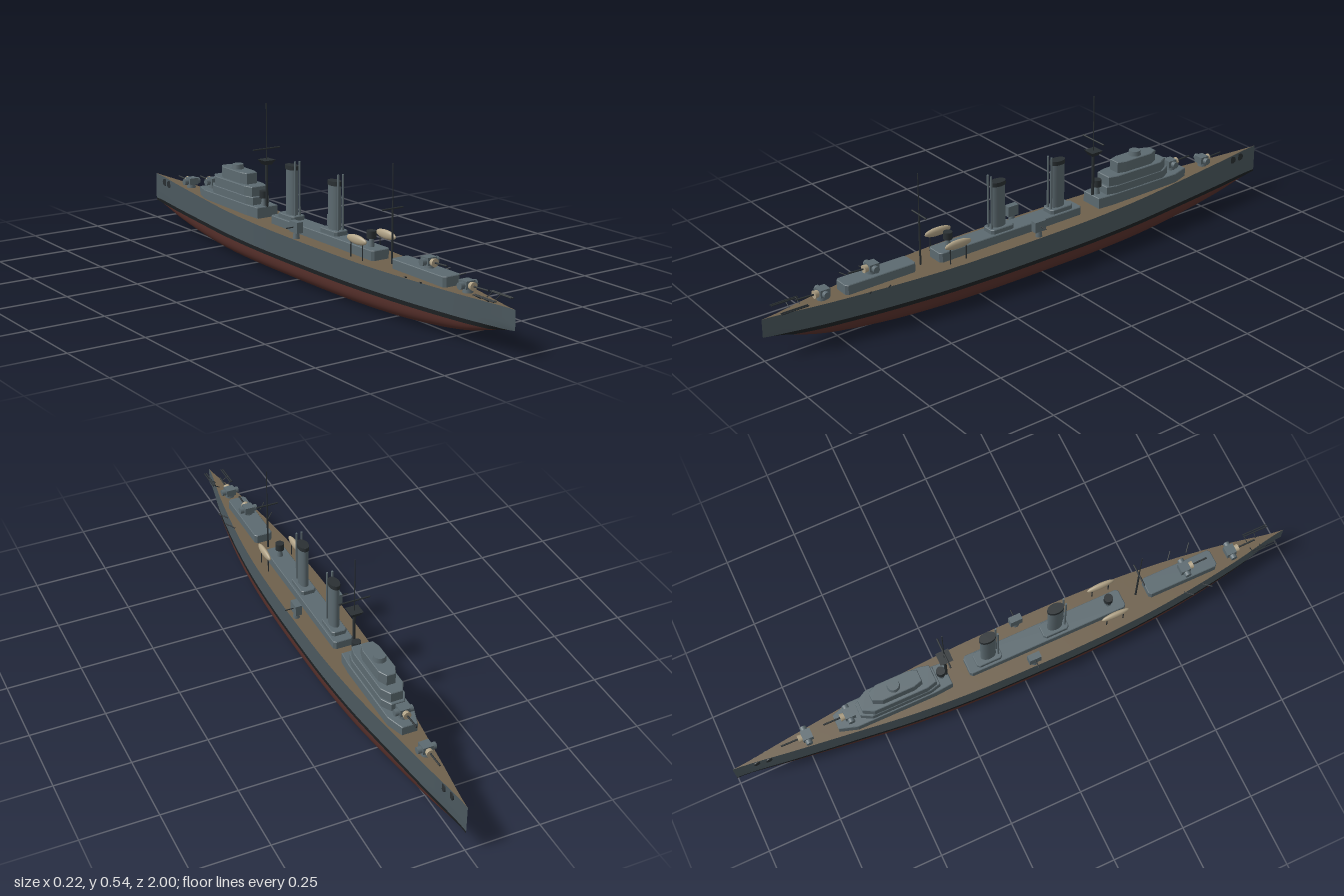
import * as THREE from 'three';

const mat = (color) => new THREE.MeshStandardMaterial({ color, roughness: 0.8, side: THREE.DoubleSide });
const M = {
  hull: mat(0x4b585e), grey: mat(0x5c6a70), red: mat(0x57302b), black: mat(0x1c2022),
  deck: mat(0x6e604c), tan: mat(0xb0a286), dark: mat(0x2a3033),
};

// hull stations, evenly spaced from bow (z = -1) to stern (z = 1)
const HALF = [0, 0.024, 0.048, 0.071, 0.084, 0.088, 0.088, 0.081, 0.063, 0.035, 0];
const KEEL = [0.068, 0.034, 0.012, 0.002, 0, 0, 0, 0.002, 0.01, 0.032, 0.08];
const SHEER = [0.168, 0.163, 0.158, 0.154, 0.151, 0.149, 0.148, 0.146, 0.145, 0.143, 0.141];
function along(list, z) {
  const t = (z + 1) * 5, i = Math.min(9, Math.max(0, Math.floor(t))), f = t - i;
  const p = (k) => list[Math.min(10, Math.max(0, k))];
  const a = p(i - 1), b = p(i), c = p(i + 1), d = p(i + 2);
  return Math.max(0, b + 0.5 * f * (c - a + f * (2 * a - 5 * b + 4 * c - d + f * (3 * (b - c) + d - a))));
}
function halfWidth(z, y) {
  const keel = along(KEEL, z), top = along(SHEER, z);
  const t = Math.min(1, Math.max(0, (y - keel) / ((top - keel) * 0.38)));
  return along(HALF, z) * Math.pow(1 - Math.pow(1 - t, 2.6), 1 / 2.6);
}

// grid surface: point(z, v) for z from bow to stern and v from 0 to 1
function surface(rows, point, flip) {
  const N = 80, pos = [], idx = [];
  for (let i = 0; i <= N; i++)
    for (let j = 0; j <= rows; j++) pos.push(...point(-1 + (2 * i) / N, j / rows));
  for (let i = 0; i < N; i++)
    for (let j = 0; j < rows; j++) {
      const a = i * (rows + 1) + j, b = a + 1, c = a + rows + 1, d = c + 1;
      idx.push(...(flip ? [a, c, b, b, c, d] : [a, b, c, b, d, c]));
    }
  const g = new THREE.BufferGeometry();
  g.setAttribute('position', new THREE.Float32BufferAttribute(pos, 3));
  g.setIndex(idx);
  g.computeVertexNormals();
  return g;
}

function add(parent, name, geo, material, x = 0, y = 0, z = 0) {
  const m = new THREE.Mesh(geo, material);
  m.name = name;
  m.position.set(x, y, z);
  parent.add(m);
  return m;
}
const box = (w, h, d) => new THREE.BoxGeometry(w, h, d);
const cyl = (r0, r1, h, n = 20) => new THREE.CylinderGeometry(r0, r1, h, n);

// thin round bar between two points
function bar(parent, name, a, b, r, material) {
  const p = new THREE.Vector3(...a), q = new THREE.Vector3(...b), dir = q.clone().sub(p);
  const m = add(parent, name, cyl(r, r, dir.length(), 8), material);
  m.position.copy(p).add(q).multiplyScalar(0.5);
  m.quaternion.setFromUnitVectors(new THREE.Vector3(0, 1, 0), dir.normalize());
}

// deckhouse with chamfered corners; fore and aft are the end half-widths
function house(parent, name, half, z0, z1, y0, y1, cut = 0.008, fore = half - cut, aft = half - cut) {
  const s = new THREE.Shape([
    [fore, -z0], [half, -z0 - cut], [half, -z1 + cut], [aft, -z1],
    [-aft, -z1], [-half, -z1 + cut], [-half, -z0 - cut], [-fore, -z0],
  ].map(([x, y]) => new THREE.Vector2(x, y)));
  const bevel = 0.002;
  const g = new THREE.ExtrudeGeometry(s, { depth: y1 - y0 - bevel, bevelSize: bevel, bevelOffset: -bevel, bevelThickness: bevel, bevelSegments: 1 });
  g.rotateX(-Math.PI / 2);
  add(parent, name, g, M.grey, 0, y0, 0);
}

// gun mount aimed along +z, then turned
function gun(parent, name, x, y, z, turn, len = 0.085) {
  const g = new THREE.Group();
  g.name = name;
  g.position.set(x, y, z);
  g.rotation.y = turn;
  add(g, 'gunPedestal', cyl(0.013, 0.017, 0.024), M.grey, 0, 0.01, 0);
  add(g, 'gunHousing', box(0.034, 0.024, 0.034), M.grey, 0, 0.026, -0.004);
  for (const s of [-1, 1]) add(g, 'gunTrunnion', cyl(0.011, 0.011, 0.014).rotateZ(Math.PI / 2), M.grey, s * 0.024, 0.024, -0.002);
  add(g, 'gunMantlet', cyl(0.013, 0.011, 0.014).rotateX(Math.PI / 2), M.tan, 0, 0.024, 0.02);
  bar(g, 'gunBarrel', [0, 0.024, 0.02], [0, 0.027, len], 0.003, M.dark);
  parent.add(g);
}

function searchlight(parent, y, z) {
  add(parent, 'lightPedestal', cyl(0.006, 0.011, 0.03), M.grey, 0, y + 0.015, z);
  add(parent, 'lightDrum', cyl(0.015, 0.015, 0.024), M.dark, 0, y + 0.04, z);
}

export function createModel() {
  const ship = new THREE.Group();
  ship.name = 'warship';

  // hull in three painted bands per side
  const RED = 0.062, STRIPE = 0.075;
  for (const s of [-1, 1]) {
    const band = (name, rows, lo, hi, power, material) => add(ship, name, surface(rows, (z, v) => {
      const k = along(KEEL, z), a = Math.max(k, lo), b = Math.max(k, Math.min(hi, along(SHEER, z)));
      const y = a + (b - a) * Math.pow(v, power);
      return [s * halfWidth(z, y), y, z];
    }, s < 0), material);
    band('underwaterHull', 14, 0, RED, 2.6, M.red);
    band('waterlineStripe', 2, RED, STRIPE, 1, M.black);
    band('hullSide', 6, STRIPE, 1, 1, M.hull);
    // hawse openings on the bow
    for (const z of [-0.92, -0.88]) {
      const hole = add(ship, 'hawseOpening', cyl(0.013, 0.013, 0.004).rotateZ(Math.PI / 2), M.dark, s * halfWidth(z, 0.148), 0.148, z);
      hole.rotation.y = s * -0.12;
    }
  }
  add(ship, 'deck', surface(4, (z, v) => [along(HALF, z) * (2 * v - 1), along(SHEER, z), z], true), M.deck);

  // stepped bridge
  house(ship, 'bridgeBase', 0.045, -0.64, -0.245, 0.14, 0.189, 0.06, 0.026, 0.04);
  house(ship, 'bridgeMiddle', 0.041, -0.56, -0.285, 0.185, 0.216, 0.035, 0.022, 0.032);
  house(ship, 'bridgeUpper', 0.039, -0.55, -0.295, 0.216, 0.249, 0.035, 0.02, 0.03);
  house(ship, 'bridgeTop', 0.029, -0.51, -0.34, 0.247, 0.287, 0.03, 0.015, 0.02);
  add(ship, 'bridgeDirector', cyl(0.019, 0.022, 0.018), M.grey, 0, 0.294, -0.43);
  searchlight(ship, 0.187, -0.268);

  // long midship house and aft house
  house(ship, 'midshipHouse', 0.034, -0.178, 0.387, 0.14, 0.178);
  house(ship, 'aftHouse', 0.032, 0.475, 0.728, 0.14, 0.176);
  searchlight(ship, 0.176, 0.335);

  // funnels with caps and steam pipes
  for (const [z, top] of [[-0.1, 0.355], [0.14, 0.347]]) {
    const oval = (r0, r1, h) => cyl(r0, r1, h, 28).scale(1, 1, 1.65);
    house(ship, 'funnelBase', 0.026, z - 0.048, z + 0.042, 0.175, 0.193);
    add(ship, 'funnel', oval(0.016, 0.016, top - 0.18), M.grey, 0, (top + 0.18) / 2, z);
    add(ship, 'funnelCap', oval(0.0175, 0.0175, 0.014), M.dark, 0, top - 0.005, z);
    for (const s of [-1, 1])
      bar(ship, 'steamPipe', [s * 0.009, 0.18, z + 0.032], [s * 0.009, 0.374, z + 0.032], 0.0035, M.grey);
  }

  // foremast with lookout platform, and mainmast
  bar(ship, 'foremastLower', [0, 0.15, -0.25], [0, 0.345, -0.25], 0.005, M.dark);
  bar(ship, 'foremastUpper', [0, 0.345, -0.25], [0, 0.54, -0.25], 0.0018, M.dark);
  bar(ship, 'foremastYard', [-0.053, 0.386, -0.25], [0.053, 0.386, -0.25], 0.0028, M.dark);
  add(ship, 'lookoutPlatform', cyl(0.031, 0.018, 0.016, 4).rotateY(Math.PI / 4), M.dark, 0, 0.341, -0.25);
  bar(ship, 'mainmastLower', [0, 0.145, 0.44], [0, 0.32, 0.44], 0.0032, M.dark);
  bar(ship, 'mainmastUpper', [0, 0.32, 0.44], [0, 0.457, 0.44], 0.0016, M.dark);
  bar(ship, 'mainmastYard', [-0.039, 0.318, 0.44], [0.039, 0.318, 0.44], 0.0028, M.dark);

  // main guns, fore and aft
  gun(ship, 'bowGun', 0, 0.16, -0.745, Math.PI);
  gun(ship, 'bridgeGun', 0, 0.187, -0.595, Math.PI);
  gun(ship, 'aftHouseGun', 0, 0.171, 0.62, 0, 0.08);
  gun(ship, 'sternGun', 0, 0.141, 0.795, 0, 0.09);

  for (const s of [-1, 1]) {
    // broadside guns
    add(ship, 'sideGunPedestal', cyl(0.008, 0.012, 0.03), M.grey, s * 0.073, 0.16, 0.032);
    add(ship, 'sideGunHousing', box(0.022, 0.036, 0.042), M.grey, s * 0.073, 0.187, 0.032);
    bar(ship, 'sideGunBarrel', [s * 0.08, 0.187, 0.032], [s * 0.112, 0.187, 0.032], 0.0018, M.dark);

    // ship's boats on davits
    add(ship, 'boat', new THREE.SphereGeometry(1, 20, 12).scale(0.0095, 0.015, 0.05), M.tan, s * 0.056, 0.207, 0.335);
    for (const z of [0.305, 0.365])
      bar(ship, 'boatDavit', [s * 0.056, 0.146, z], [s * 0.056, 0.2, z], 0.002, M.dark);

    // outboard booms on the quarterdeck
    for (const z of [0.59, 0.66])
      bar(ship, 'boom', [s * 0.062, 0.148, z], [s * 0.087, 0.159, z + 0.022], 0.002, M.dark);

    // stern rails
    for (const x of [0.029, 0.036])
      bar(ship, 'sternRail', [s * x, 0.157, 0.86], [s * x, 0.157, 0.95], 0.0022, M.dark);
    for (const z of [0.865, 0.9])
      bar(ship, 'sternRailSupport', [s * 0.012, 0.143, z], [s * 0.036, 0.157, z], 0.0015, M.dark);
  }
  return ship;
}
